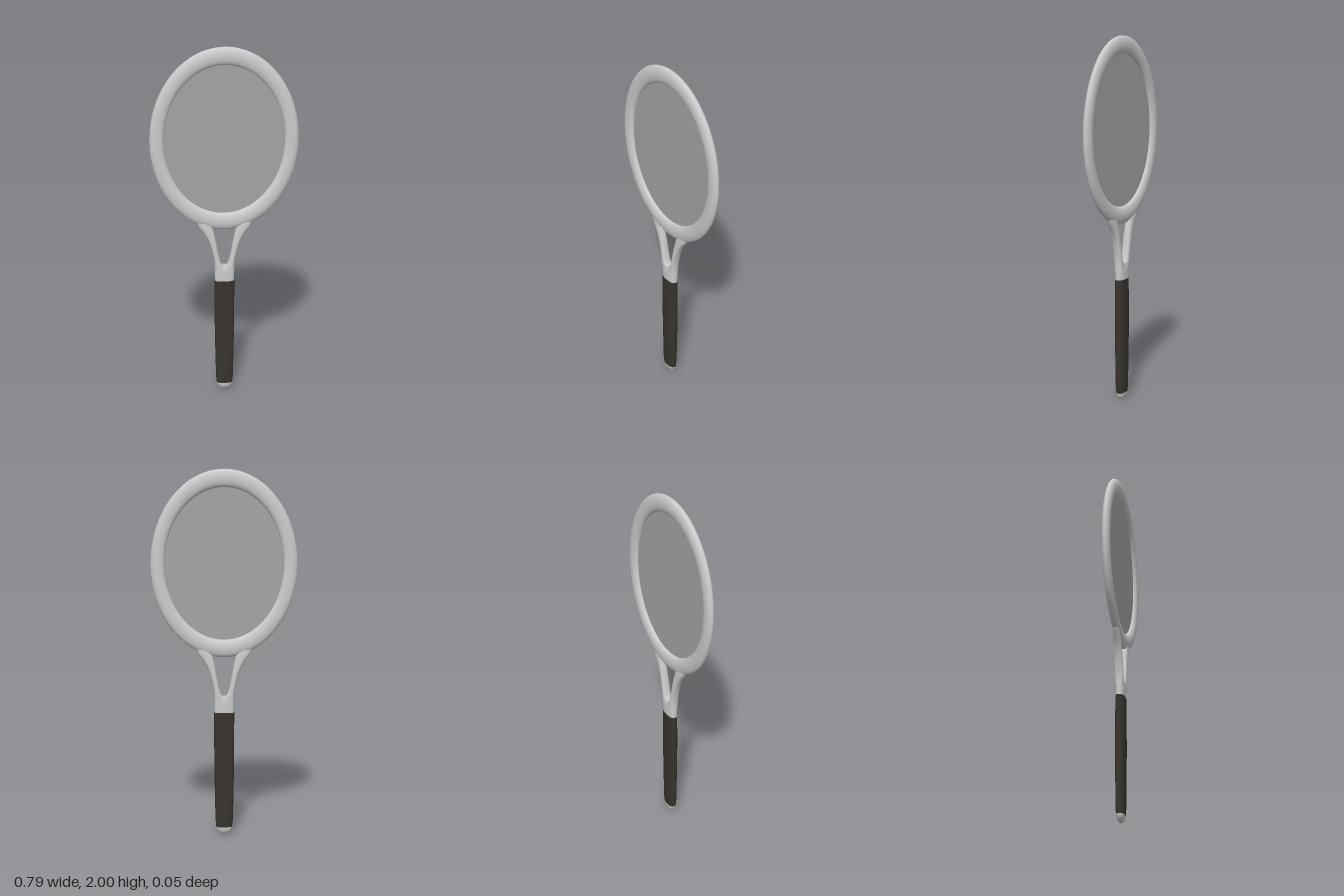
import * as THREE from 'three';

const SIDES = 32;

// Horizontal superellipse sections [y, centreX, halfWidth, halfDepth], bottom to top, with flat end caps
function loft(sections, power = 2.6) {
  const pos = [], index = [];
  const ring = ([y, cx, rx, rz]) => {
    for (let j = 0; j < SIDES; j++) {
      const a = (j / SIDES) * Math.PI * 2, c = Math.cos(a), s = Math.sin(a);
      pos.push(cx + rx * Math.sign(c) * Math.abs(c) ** (2 / power), y,
        rz * Math.sign(s) * Math.abs(s) ** (2 / power));
    }
  };
  sections.forEach(ring);
  for (let i = 0; i < sections.length - 1; i++) {
    for (let j = 0; j < SIDES; j++) {
      const a = i * SIDES + j, b = i * SIDES + (j + 1) % SIDES;
      index.push(a, a + SIDES, b, b, a + SIDES, b + SIDES);
    }
  }
  // End caps on their own vertices so the rims stay sharp
  [sections[0], sections.at(-1)].forEach((section, end) => {
    const start = pos.length / 3;
    ring(section);
    pos.push(section[1], section[0], 0);
    for (let j = 0; j < SIDES; j++) {
      const a = start + j, b = start + (j + 1) % SIDES;
      index.push(start + SIDES, ...(end ? [b, a] : [a, b]));
    }
  });
  const geo = new THREE.BufferGeometry();
  geo.setAttribute('position', new THREE.Float32BufferAttribute(pos, 3));
  geo.setIndex(index);
  geo.computeVertexNormals();
  return geo;
}

export function createModel() {
  const group = new THREE.Group();
  const grey = new THREE.MeshStandardMaterial({ color: 0xcccccc });
  const gripMat = new THREE.MeshStandardMaterial({ color: 0x38332e });
  const stringMat = new THREE.MeshStandardMaterial({ color: 0xa4a4a4, side: THREE.DoubleSide });
  const add = (name, geo, mat) => {
    const mesh = new THREE.Mesh(geo, mat);
    mesh.name = name;
    group.add(mesh);
    return mesh;
  };

  // Oval head: flattened ring with a thin string bed
  const headY = 1.495, stretch = 1.278;
  const rim = new THREE.TorusGeometry(0.3575, 0.0375, 24, 96);
  rim.scale(1, stretch, 0.58).translate(0, headY, 0);
  add('headRim', rim, grey);
  const bed = new THREE.CircleGeometry(0.335, 96);
  bed.scale(1, stretch, 1).translate(0, headY, 0);
  add('stringBed', bed, stringMat);

  // Forked throat: [y, inner x, outer x, half depth]
  const armProfile = [
    [0.745, 0, 0.054, 0.024], [0.772, 0, 0.055, 0.024], [0.78, 0.012, 0.055, 0.024],
    [0.795, 0.02, 0.056, 0.0235], [0.83, 0.029, 0.061, 0.023], [0.87, 0.037, 0.07, 0.0225],
    [0.91, 0.044, 0.082, 0.022], [0.95, 0.052, 0.1, 0.021], [0.985, 0.06, 0.122, 0.02],
    [1.01, 0.067, 0.142, 0.0185], [1.032, 0.076, 0.152, 0.017],
  ];
  for (const side of [1, -1]) {
    const sections = armProfile.map(([y, inner, outer, d]) =>
      [y, side * (inner + outer) / 2, (outer - inner) / 2, d]);
    add(side > 0 ? 'leftThroatArm' : 'rightThroatArm', loft(sections), grey);
  }

  // Shaft between the grip and the fork
  add('shaft', loft([
    [0.66, 0, 0.053, 0.024], [0.72, 0, 0.054, 0.0245], [0.75, 0, 0.055, 0.0245],
    [0.765, 0, 0.052, 0.022], [0.776, 0, 0.04, 0.016],
  ]), grey);

  // Dark grip with a slight swell
  add('grip', loft([
    [0.04, 0, 0.044, 0.022], [0.08, 0, 0.048, 0.0245], [0.2, 0, 0.051, 0.0255],
    [0.4, 0, 0.0545, 0.0275], [0.55, 0, 0.055, 0.0265], [0.685, 0, 0.055, 0.025],
  ]), gripMat);

  // Domed butt cap
  const dome = [];
  for (let i = 0; i <= 8; i++) {
    const a = (i / 8) * Math.PI / 2;
    dome.push([0.041 * (1 - Math.cos(a)), 0, 0.0425 * Math.sin(a) + 0.0005, 0.021 * Math.sin(a) + 0.0005]);
  }
  add('buttCap', loft(dome), grey);

  return group;
}
